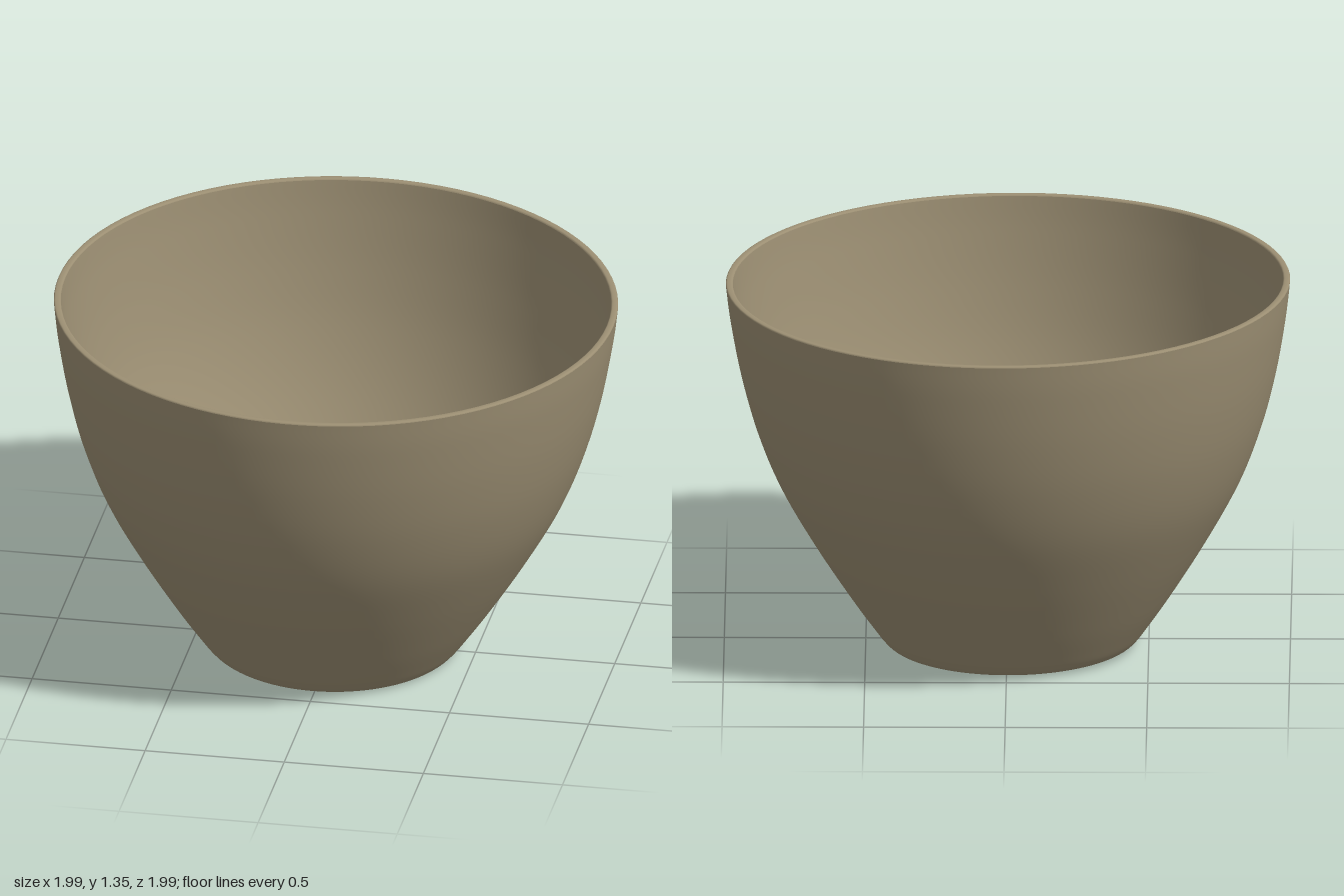
import * as THREE from 'three';

const SEGMENTS = 96;
const v2 = ([r, y]) => new THREE.Vector2(r, y);

export function createModel() {
  const clay = new THREE.MeshStandardMaterial({ color: 0x9c8f73 });
  clay.name = 'khaki clay';

  const pot = new THREE.Group();
  pot.name = 'planterPot';

  const add = (name, geometry) => {
    const mesh = new THREE.Mesh(geometry, clay);
    mesh.name = name;
    pot.add(mesh);
    return mesh;
  };
  // Revolve a smooth curve through the given (radius, height) points
  const revolve = (name, points, steps) =>
    add(name, new THREE.LatheGeometry(new THREE.SplineCurve(points.map(v2)).getPoints(steps), SEGMENTS));

  // Outer wall, from the rounded foot to the rim
  revolve('outerWall', [
    [0.42, 0], [0.437, 0.004], [0.457, 0.022], [0.49, 0.066], [0.575, 0.19], [0.70, 0.39],
    [0.815, 0.60], [0.893, 0.80], [0.946, 1.0], [0.982, 1.2], [0.997, 1.325],
  ], 60);

  // Flat rim with a slight rounding
  revolve('rim', [[0.997, 1.325], [0.993, 1.33], [0.977, 1.33], [0.972, 1.325]], 9);

  // Inner wall, from the rim down into the floor
  revolve('innerWall', [
    [0.972, 1.325], [0.955, 1.2], [0.918, 1.0], [0.865, 0.80], [0.785, 0.60],
    [0.67, 0.39], [0.545, 0.19], [0.485, 0.092], [0.465, 0.072], [0.44, 0.068],
  ], 60);

  // Raised foot ring around the recessed underside
  revolve('footRing', [[0.39, 0.03], [0.396, 0.014], [0.406, 0.003], [0.42, 0]], 10);

  // Floor slab with three drainage holes
  const floorShape = new THREE.Shape().absarc(0, 0, 0.445, 0, Math.PI * 2);
  for (let i = 0; i < 3; i++) {
    const angle = -Math.PI / 2 + (i * Math.PI * 2) / 3;
    const hole = new THREE.Path();
    hole.absarc(0.313 * Math.cos(angle), 0.313 * Math.sin(angle), 0.032, 0, Math.PI * 2, true);
    floorShape.holes.push(hole);
  }
  const floor = new THREE.ExtrudeGeometry(floorShape, { depth: 0.038, bevelEnabled: false, curveSegments: 32 });
  floor.rotateX(-Math.PI / 2).translate(0, 0.03, 0);
  add('floor', floor);

  // The pot leans very slightly
  pot.rotation.set(0.006, 0, -0.009);
  pot.position.set(-0.014, 0.005, -0.01);

  const model = new THREE.Group();
  model.name = 'planter';
  model.add(pot);
  return model;
}
